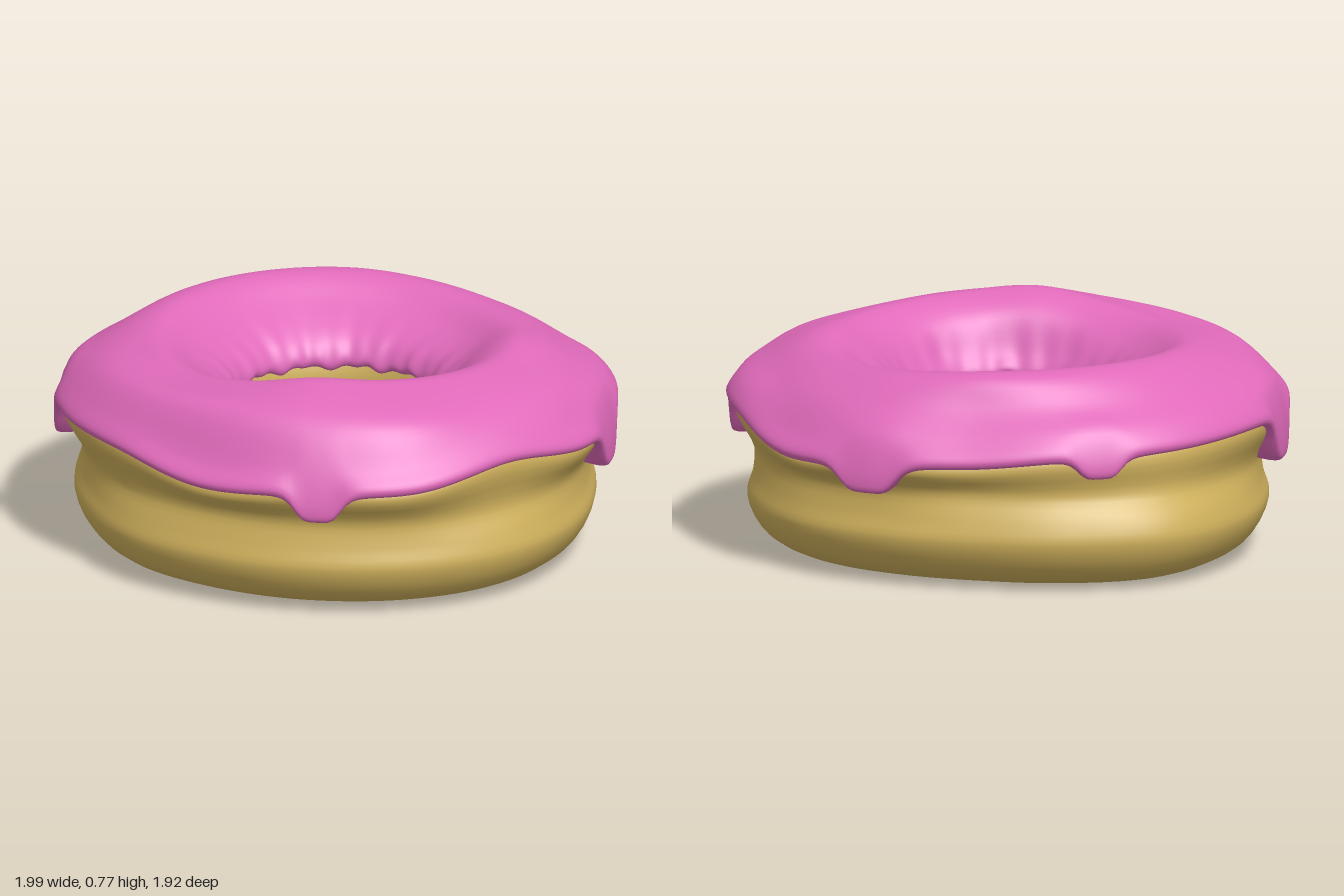
import * as THREE from 'three';

const STEPS = 288;

// Smooth periodic function of angle through evenly spaced values (0 = +x, turning towards +z)
function ring(values) {
  const n = values.length;
  return (angle) => {
    const t = (angle / (Math.PI * 2)) * n, i = Math.floor(t), f = t - i;
    const [a, b, c, d] = [-1, 0, 1, 2].map((k) => values[(i + k + n) % n]);
    return b + 0.5 * f * (c - a + f * (2 * a - 5 * b + 4 * c - d + f * (3 * (b - c) + d - a)));
  };
}

// Sweeps a section that changes with the angle once around the y axis
function sweep(section, closed, samples) {
  const pos = [], index = [], row = closed ? samples : samples + 1;
  for (let i = 0; i < STEPS; i++) {
    const angle = (i / STEPS) * Math.PI * 2;
    const points = section(angle).map(([r, y]) => new THREE.Vector3(r, y, 0));
    const curve = new THREE.CatmullRomCurve3(points, closed);
    for (let j = 0; j < row; j++) {
      const p = curve.getPoint(j / samples);
      pos.push(p.x * Math.cos(angle), Math.max(0, p.y), p.x * Math.sin(angle));
    }
    const next = (i + 1) % STEPS;
    for (let j = 0; j < samples; j++) {
      const k = (j + 1) % row;
      const a = i * row + j, b = next * row + j, c = next * row + k, d = i * row + k;
      index.push(a, b, d, b, c, d);
    }
  }
  const geometry = new THREE.BufferGeometry();
  geometry.setAttribute('position', new THREE.Float32BufferAttribute(pos, 3));
  geometry.setIndex(index);
  geometry.computeVertexNormals();
  return geometry;
}

// Uneven outlines and heights around the ring
const icingRadius = ring([0.99, 1.03, 1.0, 0.97, 0.96, 0.975, 0.98, 0.97,
  0.965, 0.935, 0.905, 0.95, 0.968, 0.968, 0.99, 1.01]);
const doughRadius = ring([0.985, 0.975, 0.95, 0.93, 0.93, 0.91, 0.91, 0.955,
  1.0, 0.94, 0.885, 0.885, 0.91, 0.91, 0.91, 0.95]);
const crest = ring([0.74, 0.755, 0.77, 0.735, 0.71, 0.715, 0.725, 0.735,
  0.74, 0.74, 0.735, 0.72, 0.705, 0.71, 0.735, 0.73]);
const shoulder = ring([0.67, 0.69, 0.685, 0.65, 0.635, 0.625, 0.62, 0.645]);
const edge = ring([0.51, 0.465, 0.46, 0.44, 0.49, 0.495, 0.495, 0.49,
  0.48, 0.47, 0.44, 0.44, 0.42, 0.49, 0.5, 0.47]);
const holeRadius = (a) => 0.36 + 0.04 * Math.cos(a) + 0.025 * Math.sin(a);

// Drips: angle in degrees, half width in degrees, y of the tip
const drips = [[42, 5, 0.365], [136, 6.5, 0.33], [196, 5, 0.405], [248, 7, 0.34], [323, 6, 0.335]];

function icingTip(angle) {
  let y = edge(angle);
  for (const [deg, width, tip] of drips) {
    const u = Math.abs(THREE.MathUtils.radToDeg(angle) - deg) / width;
    y = THREE.MathUtils.lerp(y, tip, 1 / (1 + u ** 5));
  }
  return y;
}

function doughSection(a) {
  const inner = holeRadius(a), low = doughRadius(a), up = icingRadius(a) - 0.03;
  const top = crest(a), base = edge(a);
  return [
    [inner + 0.06, 0.19], [inner + 0.02, 0.34], [inner + 0.014, 0.46], [inner + 0.06, 0.56],
    [0.52, top - 0.1], [0.64, top - 0.05], [up - 0.15, shoulder(a) - 0.06],
    [up - 0.05, base + 0.05], [up, base - 0.02], [(up + low) / 2 - 0.045, 0.34],
    [low - 0.02, 0.25], [low, 0.17], [low - 0.06, 0.06],
    [low - 0.2, 0.003], [0.62, 0], [inner + 0.15, 0.05],
  ];
}

function icingSection(a) {
  const inner = holeRadius(a) + 0.003 * Math.sin(13 * a) + 0.002 * Math.sin(29 * a);
  const outer = icingRadius(a), base = edge(a), tip = icingTip(a), top = crest(a);
  const lip = 0.485 + 0.006 * Math.sin(11 * a + 1) + 0.005 * Math.sin(23 * a);
  return [
    [inner + 0.06, lip + 0.01], [inner + 0.012, lip], [inner, lip + 0.025], [inner + 0.035, 0.575],
    [0.5, top - 0.065], [0.61, top - 0.004], [0.7, top - 0.014], [outer - 0.14, shoulder(a)],
    [outer - 0.045, base + 0.085], [outer - 0.002, tip + 0.025], [outer - 0.014, tip],
    [Math.min(outer - 0.1, doughRadius(a) - 0.09), tip + 0.015],
  ];
}

export function createModel() {
  const group = new THREE.Group();
  group.name = 'doughnut';
  const add = (name, geometry, color) => {
    const mesh = new THREE.Mesh(geometry, new THREE.MeshStandardMaterial({ color, side: THREE.DoubleSide }));
    mesh.name = name;
    group.add(mesh);
  };
  // Baked ring with a flat bottom, a waist and a flared hole
  add('dough', sweep(doughSection, true, 64), 0xcfb05c);
  // Glaze shell with a rounded lip and drips
  add('icing', sweep(icingSection, false, 66), 0xe06aba);
  return group;
}
